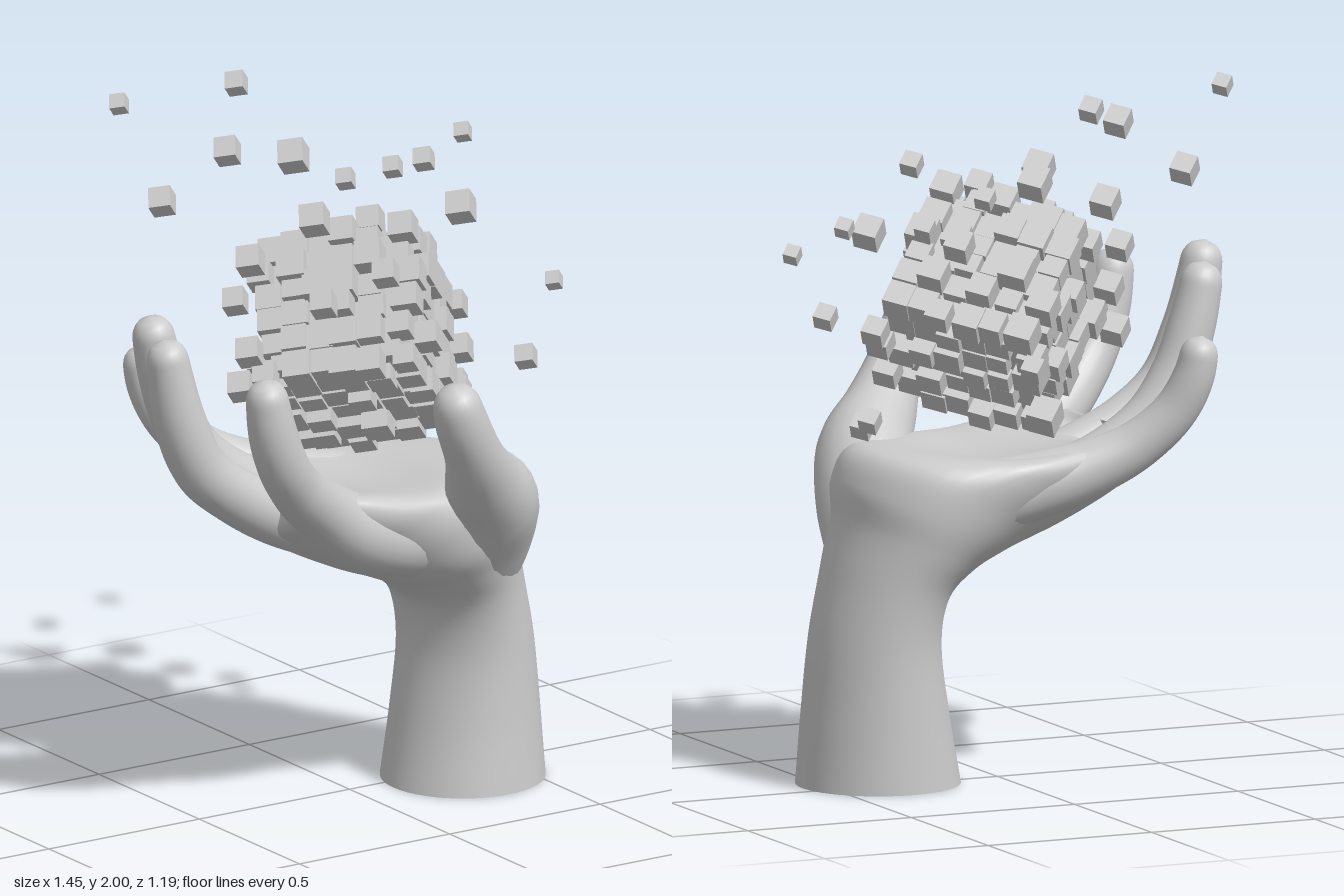
import * as THREE from 'three';
import { mergeGeometries, mergeVertices } from 'three/addons/utils/BufferGeometryUtils.js';
import { ParametricGeometry } from 'three/addons/geometries/ParametricGeometry.js';

const material = new THREE.MeshStandardMaterial({ color: 0xcccccc });

function addMesh(parent, name, geometry) {
  const mesh = new THREE.Mesh(geometry, material);
  mesh.name = name;
  parent.add(mesh);
  return mesh;
}

// Weld seams so the skin shades smoothly
function smooth(geometry) {
  geometry.deleteAttribute('uv');
  geometry.deleteAttribute('normal');
  const welded = mergeVertices(geometry, 1e-5);
  welded.computeVertexNormals();
  return welded;
}

// Forearm and palm: cross-sections [inner x, inner y, outer x, outer y, z min, z max]
function armGeometry() {
  const sections = [
    [0.11, 0.0, 0.57, 0.0, -0.175, 0.285],
    [0.15, 0.2, 0.555, 0.2, -0.175, 0.27],
    [0.18, 0.39, 0.53, 0.42, -0.18, 0.265],
    [0.165, 0.52, 0.49, 0.6, -0.2, 0.28],
    [0.1, 0.59, 0.455, 0.74, -0.235, 0.32],
    [0.01, 0.635, 0.445, 0.85, -0.265, 0.36],
    [-0.07, 0.665, 0.385, 0.935, -0.285, 0.37],
    [-0.14, 0.695, 0.24, 0.935, -0.3, 0.365],
    [-0.22, 0.735, 0.06, 0.91, -0.31, 0.36],
    [-0.3, 0.78, -0.13, 0.925, -0.305, 0.34],
    [-0.36, 0.83, -0.25, 0.93, -0.28, 0.31],
    [-0.34, 0.88, -0.34, 0.88, 0.02, 0.02],
  ];
  const curve = (ix, iy, iz) => new THREE.CatmullRomCurve3(
    sections.map((s) => new THREE.Vector3(s[ix], s[iy], s[iz])), false, 'catmullrom', 0.5);
  const inner = curve(0, 1, 4), outer = curve(2, 3, 5);
  const a = new THREE.Vector3(), b = new THREE.Vector3();
  const power = (x, e) => Math.sign(x) * Math.abs(x) ** e;
  return smooth(new ParametricGeometry((u, v, target) => {
    inner.getPoint(v, a);
    outer.getPoint(v, b);
    const palm = THREE.MathUtils.smoothstep(v, 0.4, 0.8);
    const e = 1 - 0.1 * palm;
    const c = power(Math.cos(u * Math.PI * 2), e);
    const s = power(Math.sin(u * Math.PI * 2), e);
    target.set(
      (a.x + b.x) / 2 + c * (b.x - a.x) / 2,
      (a.y + b.y) / 2 + c * (b.y - a.y) / 2 + 0.09 * palm * s * s, // cupped sides
      (a.z + b.z) / 2 - s * (b.z - a.z) / 2);
  }, 48, 72));
}

// Finger: tube whose radius follows the path points [x, y, z, radius], rounded at both ends
function fingerGeometry(points) {
  const curve = new THREE.CatmullRomCurve3(points.map((p) => new THREE.Vector3(p[0], p[1], p[2])));
  const radii = new THREE.CatmullRomCurve3(
    points.map((p) => new THREE.Vector3(p[3], 0, 0)), false, 'catmullrom', 0.5);
  const rings = 80, sides = 24, length = curve.getLength();
  const tube = new THREE.TubeGeometry(curve, rings, 1, sides);
  const pos = tube.attributes.position, p = new THREE.Vector3();
  for (let i = 0; i <= rings; i++) {
    const center = curve.getPointAt(i / rings);
    let r = radii.getPoint(curve.getUtoTmapping(i / rings)).x;
    const toEnd = length * Math.min(i, rings - i) / rings;
    if (toEnd < r) r = Math.sqrt(Math.max(0, r * r - (r - toEnd) ** 2));
    for (let j = 0; j <= sides; j++) {
      const k = i * (sides + 1) + j;
      p.fromBufferAttribute(pos, k).sub(center).multiplyScalar(r).add(center);
      pos.setXYZ(k, p.x, p.y, p.z);
    }
  }
  return smooth(tube);
}

// Each digit starts deep in the wrist or palm and surfaces at a shallow angle
const digits = {
  thumb: [[0.33, 0.42, 0.09, 0.11], [0.315, 0.6, 0.125, 0.13], [0.295, 0.76, 0.21, 0.147],
    [0.255, 0.88, 0.32, 0.135], [0.165, 0.98, 0.415, 0.105], [0.09, 1.08, 0.485, 0.082],
    [0.025, 1.2, 0.52, 0.074], [-0.01, 1.31, 0.53, 0.06]],
  indexFinger: [[0.25, 0.75, 0.1, 0.09], [0.08, 0.775, 0.2, 0.115], [-0.11, 0.825, 0.25, 0.105],
    [-0.26, 0.915, 0.28, 0.09], [-0.395, 1.02, 0.34, 0.077],
    [-0.475, 1.12, 0.38, 0.072], [-0.52, 1.23, 0.395, 0.068], [-0.55, 1.385, 0.4, 0.054]],
  middleFinger: [[0.05, 0.78, 0.07, 0.09], [-0.12, 0.81, 0.08, 0.095], [-0.28, 0.865, 0.09, 0.09],
    [-0.44, 0.95, 0.095, 0.08], [-0.56, 1.05, 0.1, 0.077], [-0.63, 1.2, 0.1, 0.073],
    [-0.68, 1.445, 0.095, 0.054]],
  ringFinger: [[0.05, 0.79, -0.08, 0.085], [-0.12, 0.83, -0.12, 0.09], [-0.27, 0.9, -0.14, 0.083],
    [-0.395, 1.0, -0.15, 0.075], [-0.475, 1.12, -0.15, 0.071], [-0.525, 1.26, -0.15, 0.067],
    [-0.565, 1.43, -0.15, 0.055]],
  littleFinger: [[0.27, 0.76, -0.06, 0.09], [0.13, 0.81, -0.15, 0.105], [-0.03, 0.85, -0.205, 0.095],
    [-0.17, 0.895, -0.25, 0.082], [-0.285, 0.955, -0.295, 0.07], [-0.38, 1.05, -0.34, 0.063],
    [-0.425, 1.15, -0.37, 0.058], [-0.445, 1.265, -0.385, 0.049]],
};

// Loose cubes [x, y, z, size]
const strays = [
  [-0.5, 1.97, -0.4, 0.044], [-0.07, 1.94, -0.46, 0.052], [-0.28, 1.85, -0.19, 0.062],
  [-0.45, 1.715, -0.26, 0.062], [-0.15, 1.69, 0.05, 0.07], [0.06, 1.73, -0.37, 0.072],
  [0.16, 1.675, -0.26, 0.046], [0.3, 1.755, -0.08, 0.05], [0.69, 1.665, -0.47, 0.042],
  [0.41, 1.63, -0.4, 0.046], [0.45, 1.58, -0.12, 0.07], [0.5, 1.46, 0.27, 0.04],
  [0.15, 1.24, -0.55, 0.052], [0.43, 1.3, -0.12, 0.06], [0.38, 1.27, 0.31, 0.052],
  [0.47, 1.06, -0.17, 0.05], [0.38, 1.0, 0.07, 0.052], [-0.33, 1.59, 0.0, 0.066],
  [-0.26, 1.52, 0.26, 0.062], [-0.1, 1.6, 0.33, 0.062], [0.23, 1.545, -0.24, 0.066],
  [-0.36, 1.47, -0.03, 0.06], [-0.36, 1.34, 0.04, 0.064], [-0.36, 1.23, 0.0, 0.064],
];

// Shared cube orientation: one face turned diagonally and slightly up, edges rolled about it
function cubeBasis() {
  const tilt = 0.2, roll = 0.82;
  const n = new THREE.Vector3(Math.cos(tilt) * Math.SQRT1_2, Math.sin(tilt), Math.cos(tilt) * Math.SQRT1_2);
  const right = new THREE.Vector3(Math.SQRT1_2, 0, -Math.SQRT1_2);
  const up = new THREE.Vector3().crossVectors(n, right);
  const x = right.clone().multiplyScalar(Math.cos(roll)).addScaledVector(up, Math.sin(roll));
  const y = new THREE.Vector3().crossVectors(n, x);
  return new THREE.Matrix4().makeBasis(x, y, n);
}

export function createModel() {
  const model = new THREE.Group();
  model.name = 'handWithCubes';

  // Hand
  const hand = new THREE.Group();
  hand.name = 'hand';
  model.add(hand);
  addMesh(hand, 'forearmAndPalm', armGeometry());
  for (const [name, points] of Object.entries(digits)) addMesh(hand, name, fingerGeometry(points));
  const cut = addMesh(hand, 'forearmBase', new THREE.CircleGeometry(1, 48).rotateX(Math.PI / 2).scale(0.23, 1, 0.23));
  cut.position.set(0.34, 0, 0.055);

  // Block of small cubes pushed outward by varying amounts from a shared core
  let seed = 11;
  const random = () => (seed = (seed * 16807) % 2147483647) / 2147483647;
  const n = 6, step = 0.071, half = (n - 1) / 2;
  const boxes = [new THREE.BoxGeometry(0.37, 0.37, 0.37)];
  for (let i = 0; i < n; i++) for (let j = 0; j < n; j++) for (let k = 0; k < n; k++) {
    const cell = [i - half, j - half, k - half];
    if (!cell.some((c) => Math.abs(c) === half)) continue;
    const size = 0.06 + random() * 0.02;
    const push = random() ** 2 * 0.065;
    const at = cell.map((c) => c * step + (random() - 0.5) * 0.012
      + (Math.abs(c) === half ? Math.sign(c) * push : 0));
    boxes.push(new THREE.BoxGeometry(size, size, size).translate(...at));
  }
  const basis = cubeBasis();
  const block = addMesh(model, 'cubeBlock', mergeGeometries(boxes).applyMatrix4(basis));
  block.position.set(0.01, 1.325, 0.005);

  // Cubes drifting away
  const loose = strays.map(([x, y, z, s]) =>
    new THREE.BoxGeometry(s, s, s).applyMatrix4(basis).translate(x, y, z));
  addMesh(model, 'driftingCubes', mergeGeometries(loose));
  return model;
}
